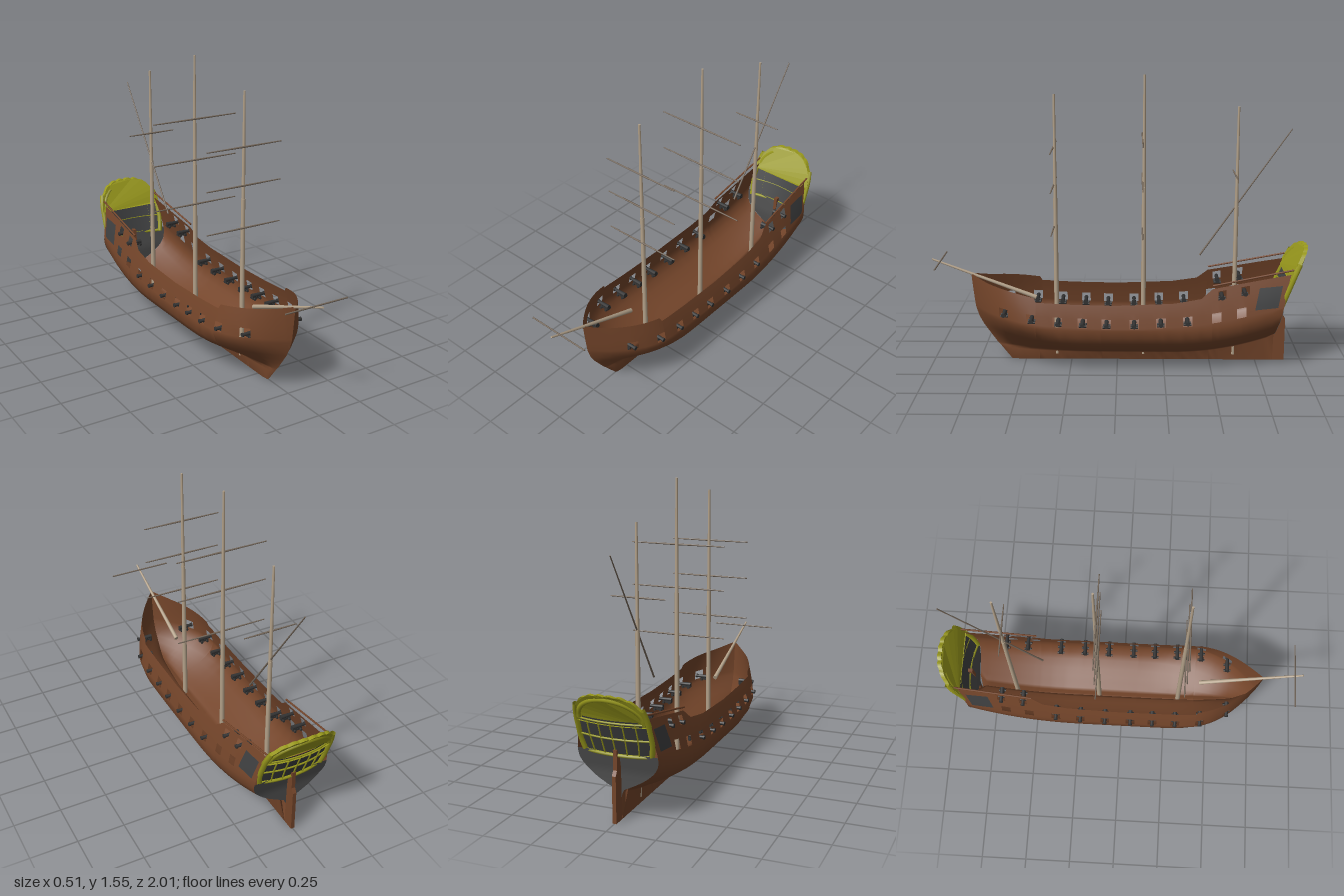
import * as THREE from 'three';

const mat = (name, color, side = THREE.FrontSide) => {
  const m = new THREE.MeshStandardMaterial({ color, side });
  m.name = name;
  return m;
};

// piecewise linear lookup in ascending [input, output] pairs
function look(table, t) {
  let i = 0;
  while (i < table.length - 2 && t > table[i + 1][0]) i++;
  const [a, b] = [table[i], table[i + 1]];
  const k = Math.max(0, Math.min(1, (t - a[0]) / (b[0] - a[0])));
  return a[1] + (b[1] - a[1]) * k;
}

const RAIL = [[-0.91, 0.53], [-0.5, 0.455], [-0.44, 0.405], [-0.3, 0.382], [0, 0.37], [0.25, 0.375], [0.425, 0.385], [0.435, 0.408], [0.7, 0.455], [0.79, 0.485]];
const PORT_Y = [[-0.87, 0.38], [-0.65, 0.335], [-0.52, 0.31], [-0.37, 0.29], [-0.09, 0.275], [0.05, 0.275], [0.31, 0.285], [0.6, 0.31], [0.8, 0.33]];
const STEM = [[0, 0.58], [0.05, 0.615], [0.1, 0.66], [0.15, 0.695], [0.2, 0.73], [0.25, 0.755], [0.3, 0.77], [0.4, 0.782], [0.49, 0.79]];
const SECTION = [[0, 0.01], [0.04, 0.012], [0.052, 0.028], [0.065, 0.06], [0.08, 0.095], [0.1, 0.135], [0.13, 0.182], [0.16, 0.216], [0.2, 0.238], [0.24, 0.24], [0.3, 0.228], [0.35, 0.215], [0.4, 0.2], [0.5, 0.17]];
const LOWER_PORTS = [0.6, 0.45, 0.31, 0.18, 0.055, -0.09, -0.23, -0.37, -0.52, -0.65];
const UPPER_PORTS = [-0.55, -0.67];

const rise = (z) => z < -0.3 ? 0.1 * ((-0.3 - z) / 0.55) ** 2 : z > 0.1 ? 0.04 * ((z - 0.1) / 0.65) ** 2 : 0;
const sternZ = (y) => -0.845 - Math.max(0, y - 0.24) * 0.22;

// half breadth of the hull
function breadth(z, y) {
  const d = Math.max(0, look(STEM, y) - z);
  const u = Math.min(1, d / (0.4 + Math.max(0, 0.25 - y) * 1.2));
  const bow = 1 - (1 - u) ** 2.2;
  const stern = z < -0.2 ? 1 - 0.14 * ((-0.2 - z) / 0.65) ** 2 : 1;
  const yy = y - rise(z);
  const p = look(SECTION, yy);
  return yy < 0.041 ? Math.min(p, d) : p * bow * stern;
}

// heights of the hull rows at one station
function rowHeights(z) {
  const r = rise(z), p = look(PORT_Y, z), top = look(RAIL, z), lo = p + 0.025;
  const low = SECTION.slice(1, 10).map((s) => s[0] + r);
  return [0, ...low, p - 0.025, lo, ...[0.5, 0.86, 1].map((t) => lo + (top - lo) * t)];
}

// surface from a rows x columns rule, with optional missing cells
function grid(nu, nv, point, skip = () => false) {
  const pos = [], idx = [];
  for (let i = 0; i <= nu; i++) for (let j = 0; j <= nv; j++) pos.push(...point(i, j));
  for (let i = 0; i < nu; i++) for (let j = 0; j < nv; j++) {
    if (skip(i, j)) continue;
    const a = i * (nv + 1) + j, b = a + nv + 1;
    idx.push(a, b, a + 1, b, b + 1, a + 1);
  }
  const g = new THREE.BufferGeometry();
  g.setAttribute('position', new THREE.Float32BufferAttribute(pos, 3));
  g.setIndex(idx);
  g.computeVertexNormals();
  return g;
}

export function createModel() {
  const ship = new THREE.Group();
  ship.name = 'sailingShip';
  const brown = mat('hull brown', 0x74452a, THREE.DoubleSide);
  const grey = mat('transom grey', 0x4c4c4c, THREE.DoubleSide);
  const glass = mat('window grey', 0x3e3f40, THREE.DoubleSide);
  const olive = mat('carving yellow', 0x98981c, THREE.DoubleSide);
  const tan = mat('mast tan', 0xb3a189);
  const spar = mat('yard brown', 0x74675a);
  const iron = mat('gun iron', 0x333333);
  const add = (name, geo, material, parent = ship) => {
    const m = new THREE.Mesh(geo, material);
    m.name = name;
    parent.add(m);
    return m;
  };
  const V = (x, y, z) => new THREE.Vector3(x, y, z);
  const pole = (name, a, b, r0, r1, material, parent = ship) => {
    const m = add(name, new THREE.CylinderGeometry(r1, r0, a.distanceTo(b), 10), material, parent);
    m.position.copy(a).lerp(b, 0.5);
    m.quaternion.setFromUnitVectors(V(0, 1, 0), b.clone().sub(a).normalize());
    return m;
  };

  // hull shell with open gun ports
  const edges = [];
  LOWER_PORTS.forEach((z) => edges.push(z - 0.025, z + 0.025));
  UPPER_PORTS.forEach((z) => edges.push(z - 0.022, z + 0.022));
  edges.push(-0.5, -0.44, 0.425, 0.435);
  const cols = [...edges, 0.76, 0.775, 0.79, -0.845];
  for (let z = -0.81; z < 0.76; z += 0.03) if (edges.every((e) => Math.abs(e - z) > 0.01)) cols.push(z);
  cols.sort((a, b) => a - b);
  const n = rowHeights(0).length, nv = 2 * n;
  const hullPoint = (i, j) => {
    const z0 = cols[i], ys = rowHeights(i ? z0 : -0.9);
    const k = Math.abs(j - n);
    const y = ys[Math.max(0, k - 1)];
    const z = i ? Math.min(z0, look(STEM, y)) : sternZ(y);
    const w = k === 0 ? 0 : breadth(i ? z : -0.845, y);
    return [j < n ? w : -w, y, z];
  };
  const near = (list, z, h) => list.some((p) => Math.abs(p - z) < h);
  add('hull', grid(cols.length - 1, nv, hullPoint, (i, j) => {
    const zc = (cols[i] + cols[i + 1]) / 2;
    const row = (j < n ? n - j - 1 : j - n) - 1;
    return (row === 10 && near(LOWER_PORTS, zc, 0.025)) || (row === 12 && near(UPPER_PORTS, zc, 0.022));
  }), brown);

  // lower transom
  add('transom', grid(10, 8, (i, j) => {
    const y = 0.1 + i * 0.024;
    return [breadth(-0.845, y) * (j / 4 - 1), y, sternZ(y) - 0.002];
  }), grey);

  // stern gallery on a raked, gently bowed plane
  const rakeZ = (x, y) => -0.872 - (y - 0.32) * 0.385 + x * x * 0.9;
  const halfW = (y) => look([[0.3, 0.165], [0.4, 0.183], [0.52, 0.183], [0.6, 0.165]], y);
  const gallery = new THREE.Group();
  gallery.name = 'sternGallery';
  ship.add(gallery);
  add('sternWindows', grid(8, 12, (i, j) => {
    const y = 0.32 + i * 0.025, x = halfW(y) * (j / 6 - 1);
    return [x, y, rakeZ(x, y)];
  }), glass, gallery);
  const galleryTube = (name, pts, r) => add(name, new THREE.TubeGeometry(
    new THREE.CatmullRomCurve3(pts.map(([x, y]) => V(x, y, rakeZ(x, y) - 0.004))), 20, r, 6), olive, gallery);
  for (const y of [0.33, 0.42, 0.508]) {
    galleryTube('windowSill', [-1, -0.5, 0, 0.5, 1].map((t) => [t * halfW(y), y]), y < 0.4 ? 0.009 : 0.005);
  }
  for (let k = -2; k <= 2; k++) galleryTube('windowBar', [0.33, 0.42, 0.51].map((y) => [k / 3 * halfW(y), y]), 0.004);
  for (const s of [-1, 1]) galleryTube('sideCarving', [0.325, 0.4, 0.47, 0.53, 0.585].map((y) => [s * halfW(y), y]), 0.014);

  // carved crest with a scalloped top edge
  const crestTop = (x) => 0.5 + 0.147 * Math.max(0, 1 - (Math.abs(x) / 0.19) ** 3) ** 0.6 + 0.007 * Math.abs(Math.sin(x * 62));
  const crest = new THREE.Shape();
  crest.moveTo(-0.19, 0.495);
  for (let i = 0; i <= 24; i++) crest.lineTo(0.19 - i * 0.38 / 24, 0.495);
  for (let i = 0; i <= 56; i++) { const x = -0.19 + i * 0.38 / 56; crest.lineTo(x, crestTop(x)); }
  const crestGeo = new THREE.ExtrudeGeometry(crest, { depth: 0.022, bevelEnabled: false });
  const cp = crestGeo.attributes.position;
  for (let i = 0; i < cp.count; i++) cp.setZ(i, cp.getZ(i) - 0.012 + rakeZ(cp.getX(i), cp.getY(i)));
  crestGeo.computeVertexNormals();
  add('sternCrest', crestGeo, olive, gallery);
  const arch = [];
  for (let i = 0; i <= 12; i++) {
    const a = Math.PI * i / 12, x = 0.165 * Math.cos(a), y = 0.515 + 0.115 * Math.sin(a);
    arch.push(V(x, y, rakeZ(x, y)));
  }
  add('crestArch', new THREE.TubeGeometry(new THREE.CatmullRomCurve3(arch), 30, 0.014, 6), olive, gallery);

  // rudder
  const rudder = new THREE.Shape([[0.846, 0], [0.91, 0], [0.91, 0.235], [0.895, 0.26], [0.895, 0.36], [0.862, 0.36], [0.852, 0.25]]
    .map(([z, y]) => new THREE.Vector2(z, y)));
  const rudderGeo = new THREE.ExtrudeGeometry(rudder, { depth: 0.02, bevelEnabled: false });
  rudderGeo.translate(0, 0, -0.01).rotateY(Math.PI / 2);
  add('rudder', rudderGeo, brown);

  for (const s of [-1, 1]) {
    // quarter window plates and quarter rails
    add('quarterWindow', grid(4, 4, (i, j) => {
      const y = 0.35 + i * 0.028 + j * 0.003, z = -0.72 - j * 0.03 - i * 0.006;
      return [s * (breadth(z, y) + 0.005), y, z];
    }), glass);
    pole('quarterRail', V(s * 0.185, 0.473, -0.5), V(s * 0.172, 0.556, -0.92), 0.005, 0.005, brown);

    // guns on wheeled carriages
    const guns = [...LOWER_PORTS.slice(0, 8).map((z) => [z, look(PORT_Y, z) - 0.008]), [-0.55, 0.413], [-0.67, 0.433]];
    for (const [z, y] of guns) {
      const gun = new THREE.Group();
      gun.name = 'gun';
      gun.position.set(s * breadth(z, y), y, z);
      gun.scale.x = 1;
      ship.add(gun);
      pole('barrel', V(-s * 0.07, 0, 0), V(s * 0.014, 0, 0), 0.012, 0.008, iron, gun);
      pole('muzzle', V(s * 0.007, 0, 0), V(s * 0.016, 0, 0), 0.011, 0.011, iron, gun);
      add('carriage', new THREE.BoxGeometry(0.055, 0.012, 0.022), iron, gun).position.set(-s * 0.043, -0.012, 0);
      for (const x of [0.025, 0.06]) pole('wheels', V(-s * x, -0.016, -0.02), V(-s * x, -0.016, 0.02), 0.007, 0.007, iron, gun);
    }
  }

  // masts with their yards: position, top, half width, yard heights
  const masts = [
    ['foreMast', 0.33, 1.45, 0.22, [0.745, 0.97, 1.17]],
    ['mainMast', -0.14, 1.55, 0.255, [0.738, 0.987, 1.212]],
    ['mizzenMast', -0.63, 1.385, 0.142, [1.026]],
  ];
  for (const [name, z, top, half, yards] of masts) {
    pole(name, V(0, 0.03, z), V(0, top * 0.62, z), 0.014, 0.011, tan);
    pole(name + 'Top', V(0, top * 0.6, z), V(0, top, z), 0.01, 0.006, tan);
    for (const y of yards) for (const s of [-1, 1]) pole('yard', V(0, y, z + 0.008), V(s * half, y, z + 0.008), 0.005, 0.003, spar);
  }
  pole('lateenYard', V(0, 0.59, -0.44), V(0, 1.27, -0.91), 0.005, 0.003, spar);
  pole('bowsprit', V(0, 0.35, 0.44), V(0, 0.562, 0.998), 0.012, 0.005, tan);
  pole('spritsailYard', V(-0.18, 0.553, 0.952), V(0.18, 0.553, 0.952), 0.004, 0.004, spar);
  return ship;
}
